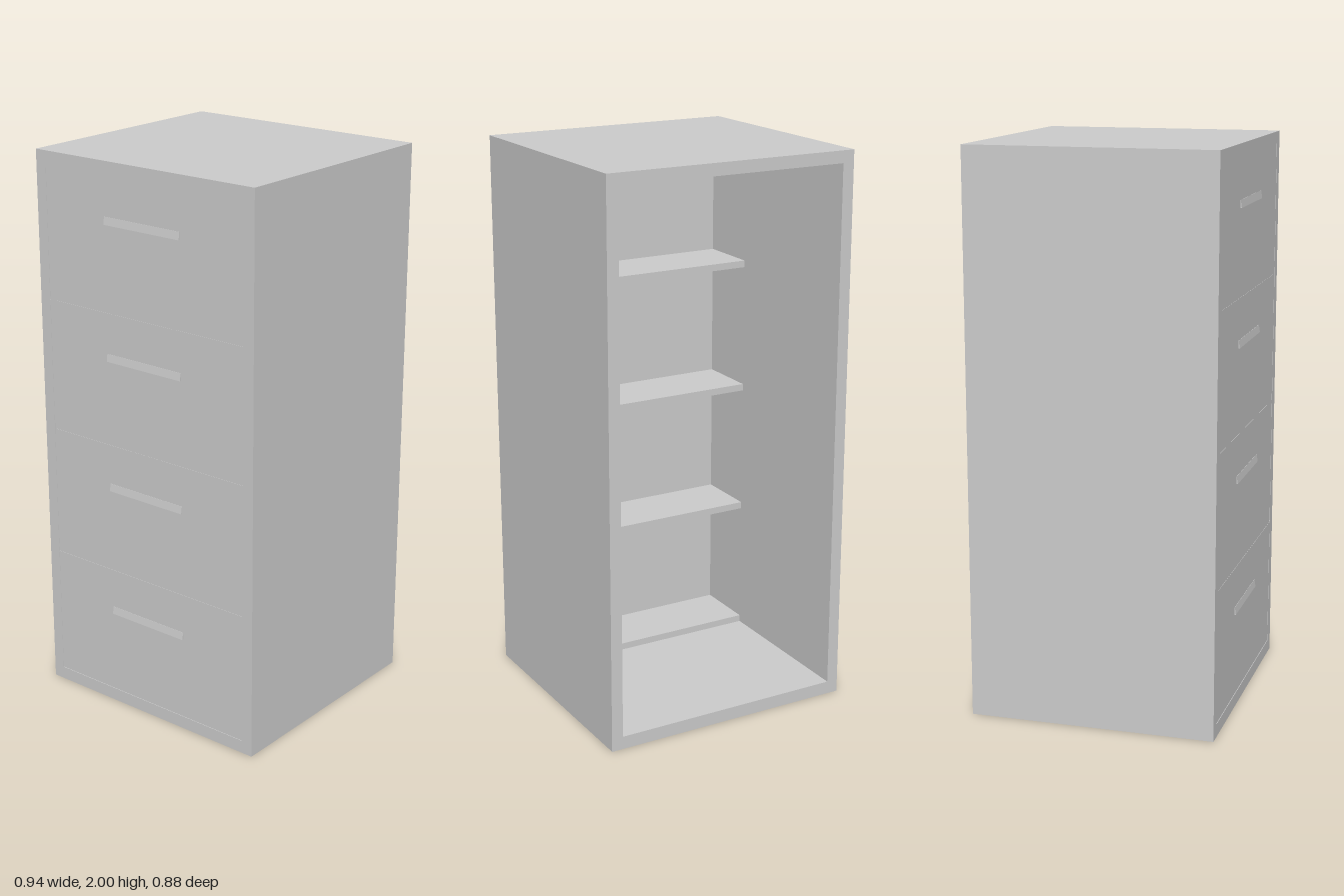
import * as THREE from 'three';

const W = 0.935, H = 2, BACK = -0.44, FRONT = 0.436;   // carcass
const IN_W = 0.85, IN_BOTTOM = 0.047, IN_TOP = 1.957;  // opening
const ROWS = 4, PITCH = (IN_TOP - IN_BOTTOM) / ROWS, RAIL = 0.025;

export function createModel() {
  const group = new THREE.Group();
  const material = new THREE.MeshStandardMaterial({ color: 0xcccccc, flatShading: true });

  const add = (name, geometry, x = 0, y = 0, z = 0) => {
    const mesh = new THREE.Mesh(geometry, material);
    mesh.name = name;
    mesh.position.set(x, y, z);
    group.add(mesh);
  };

  const rect = (Type, w, y0, y1) => new Type([
    new THREE.Vector2(-w / 2, y0), new THREE.Vector2(w / 2, y0),
    new THREE.Vector2(w / 2, y1), new THREE.Vector2(-w / 2, y1),
  ]);

  // Box given by its width and its y and z ranges
  const block = (name, w, y0, y1, z0, z1) =>
    add(name, new THREE.BoxGeometry(w, y1 - y0, z1 - z0), 0, (y0 + y1) / 2, (z0 + z1) / 2);

  // Cabinet shell, open at the back
  const shell = rect(THREE.Shape, W, 0, H);
  shell.holes.push(rect(THREE.Path, IN_W, IN_BOTTOM, IN_TOP));
  add('cabinetShell', new THREE.ExtrudeGeometry(shell, { depth: FRONT - BACK, bevelEnabled: false }), 0, 0, BACK);

  // Handle: a thin wedge, thickest along its lower edge (profile x is z, y is y)
  const profile = new THREE.Shape([
    new THREE.Vector2(-0.004, 0), new THREE.Vector2(0.006, 0),
    new THREE.Vector2(0.002, 0.027), new THREE.Vector2(-0.004, 0.027),
  ]);
  const handle = new THREE.ExtrudeGeometry(profile, { depth: 0.326, bevelEnabled: false });
  handle.translate(0, 0, -0.163).rotateY(-Math.PI / 2);

  // Each row: a rail shelf, the drawer front above it and its handle
  for (let i = 0; i < ROWS; i++) {
    const y = IN_BOTTOM + i * PITCH;
    block('rail' + (i + 1), IN_W, y, y + RAIL, 0.17, FRONT - 0.002);
    block('drawerFront' + (i + 1), IN_W, y + RAIL, y + PITCH, 0.398, FRONT - 0.001);
    add('handle' + (i + 1), handle, 0, y + 0.306, FRONT - 0.002);
  }

  return group;
}
